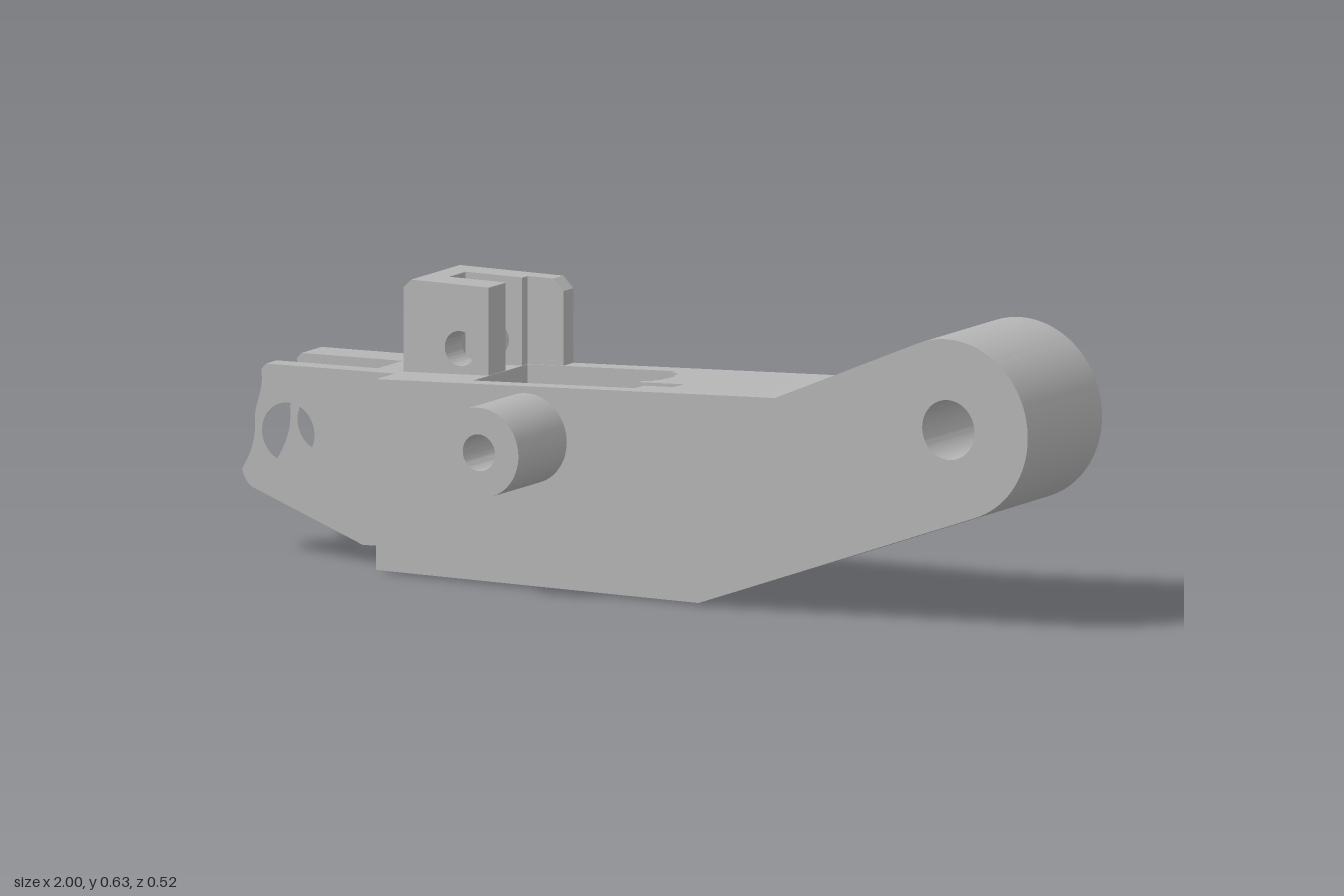
import * as THREE from 'three';
import { toCreasedNormals } from 'three/addons/utils/BufferGeometryUtils.js';

export function createModel() {
  const group = new THREE.Group();
  const gray = new THREE.MeshStandardMaterial({ color: 0xb4b4b4 });
  gray.name = 'gray';

  const BACK = -0.26, FRONT = 0.055;
  const topY = (x) => 0.42 + (x + 0.62) * 0.0485;

  // Extrude a side outline between two depths, with round [x, y, r] holes
  function plate(name, shape, z0, z1, holes = []) {
    for (const [x, y, r] of holes) {
      shape.holes.push(new THREE.Path().absarc(x, y, r, 0, Math.PI * 2, true));
    }
    const geo = new THREE.ExtrudeGeometry(shape, { depth: z1 - z0, bevelEnabled: false, curveSegments: 32 });
    geo.translate(0, 0, z0);
    const mesh = new THREE.Mesh(toCreasedNormals(geo, 0.5), gray);
    mesh.name = name;
    group.add(mesh);
  }
  const polygon = (pts) => new THREE.Shape(pts.map(([x, y]) => new THREE.Vector2(x, y)));

  // Arm outline; a pocket cuts a U from the top edge, reach extends it as a shallow recess
  const axle = [-0.245, 0.325];
  const pocketR = 0.157;
  function armShape(pocket, reach = 0, floor = 0) {
    const s = new THREE.Shape();
    s.moveTo(-0.62, 0.005);
    s.lineTo(0.18, 0.005);
    s.absarc(0.8, 0.437, 0.197, -1.222, 1.969, false);
    s.lineTo(0.37, 0.468);
    if (pocket) {
      const right = axle[0] + pocketR, left = axle[0] - pocketR;
      if (reach > right) {
        s.lineTo(reach, topY(reach));
        s.lineTo(reach, floor);
        s.lineTo(right, floor);
      } else {
        s.lineTo(right, topY(right));
      }
      s.absarc(axle[0], axle[1], pocketR, 0, -Math.PI, true);
      s.lineTo(left, topY(left));
    }
    s.lineTo(-0.62, 0.42);
    s.closePath();
    return s;
  }
  const pivot = [0.8, 0.437, 0.065];

  // Arm: solid side walls around the open pocket
  plate('armBackWall', armShape(false), BACK, -0.215, [pivot, [...axle, 0.043]]);
  plate('armFrontWall', armShape(false), 0.015, FRONT, [pivot, [...axle, 0.04]]);
  plate('armFrontCore', armShape(true), -0.02, 0.015, [pivot]);
  plate('armSlitCore', armShape(true, 0.075, 0.37), -0.06, -0.02, [pivot]);
  // Rounded side recess, stepped through the depth
  const steps = 8;
  for (let i = 0; i < steps; i++) {
    const z0 = -0.215 + (0.155 * i) / steps;
    const z1 = -0.215 + (0.155 * (i + 1)) / steps;
    const t = ((i + 0.5) / steps) * 2 - 1;
    plate('armRecessCore', armShape(true, -0.07 + 0.07 * Math.sqrt(1 - t * t), 0.33), z0, z1, [pivot]);
  }

  // Hollow boss on the front face
  const ring = new THREE.Shape().absarc(...axle, 0.098, 0, Math.PI * 2, false);
  plate('boss', ring, FRONT, 0.26, [[...axle, 0.04]]);

  // Forked end: two cheeks joined by a web
  function forkShape() {
    const s = new THREE.Shape();
    s.moveTo(-0.61, 0.05);
    s.lineTo(-0.65, 0.042);
    s.lineTo(-0.7, 0.04);
    s.lineTo(-0.975, 0.142);
    s.quadraticCurveTo(-0.99, 0.15, -1, 0.178);
    s.bezierCurveTo(-0.975, 0.22, -0.965, 0.25, -0.968, 0.29);
    s.bezierCurveTo(-0.968, 0.33, -0.945, 0.35, -0.952, 0.4);
    s.lineTo(-0.94, 0.413);
    s.lineTo(-0.61, 0.42);
    s.closePath();
    return s;
  }
  const forkHole = [-0.885, 0.268, 0.065];
  plate('forkBackCheek', forkShape(), BACK, -0.175, [forkHole]);
  plate('forkFrontCheek', forkShape(), -0.07, -0.025, [forkHole]);
  plate('forkWeb', polygon([[-0.69, 0.042], [-0.61, 0.05], [-0.61, 0.42], [-0.69, 0.418]]), -0.175, -0.07);

  // Upright clevis on top, open toward the right
  const pin = [-0.475, 0.483, 0.038];
  const c = 0.018, x0 = -0.615, yTop = 0.622;
  const cheek = (x1, chamfer) => polygon([
    [x0, 0.4], [x1, 0.4], [x1, yTop - chamfer], [x1 - chamfer, yTop], [x0 + c, yTop], [x0, yTop - c],
  ]);
  plate('clevisBackPlate', cheek(-0.315, 0.025), BACK, -0.218, [pin]);
  plate('clevisBackCheek', cheek(-0.404, 0.001), -0.218, -0.195, [pin]);
  plate('clevisFrontCheek', cheek(-0.404, 0.001), -0.125, -0.053, [pin]);
  plate('clevisEndWall', cheek(-0.545, 0.001), -0.195, -0.125);

  return group;
}
